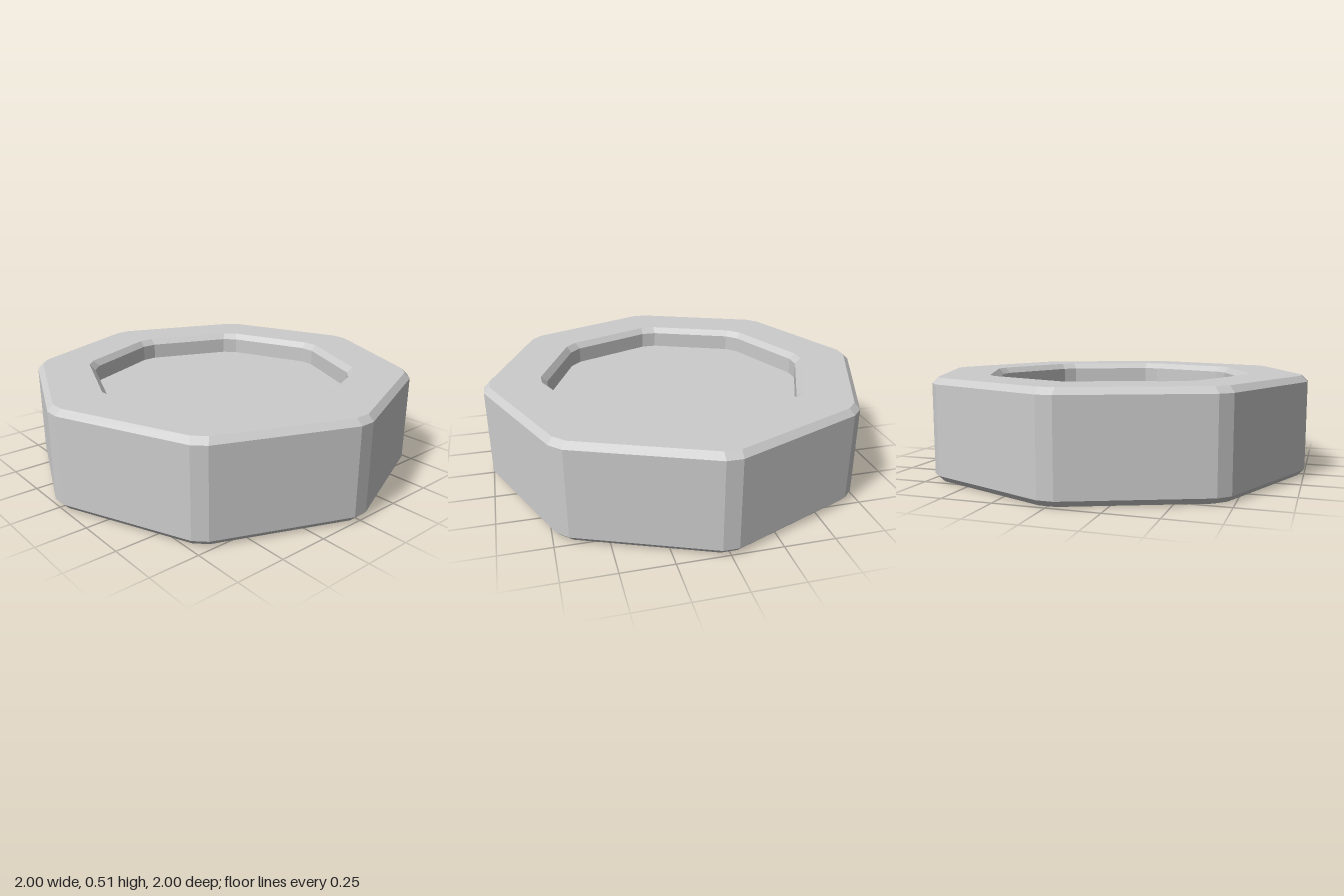
import * as THREE from 'three';

const H = 0.507;       // total height
const BEVEL = 0.03;
const DEPTH = 0.113;   // depth of the recess in each face
const HALF_CUT = 0.039; // half width of each clipped corner
const INNER = 0.68;

// Octagon outline with clipped corners, counter-clockwise from above, as [x, z]
function outline(r) {
  const pts = [];
  for (let k = 0; k < 8; k++) {
    const a = k * Math.PI / 4, s = Math.sin(a), c = Math.cos(a);
    for (const h of [-HALF_CUT, HALF_CUT]) pts.push([r * s + h * c, r * c - h * s]);
  }
  return pts;
}

// Joins outlines of the given [radius, y] steps into a flat-faced surface
function loft(profile) {
  const rings = profile.map(([r, y]) => outline(r).map(([x, z]) => [x, y, z]));
  const pos = [];
  for (let i = 0; i < rings.length - 1; i++) {
    const n = rings[i].length;
    for (let j = 0; j < n; j++) {
      const k = (j + 1) % n;
      const a = rings[i][j], b = rings[i][k], c = rings[i + 1][k], d = rings[i + 1][j];
      pos.push(...a, ...b, ...c, ...a, ...c, ...d);
    }
  }
  const geo = new THREE.BufferGeometry();
  geo.setAttribute('position', new THREE.Float32BufferAttribute(pos, 3));
  geo.computeVertexNormals();
  return geo;
}

export function createModel() {
  const group = new THREE.Group();
  group.name = 'octagonalDisc';
  const material = new THREE.MeshStandardMaterial({ color: 0xcccccc, flatShading: true });
  const add = (name, geometry) => {
    const mesh = new THREE.Mesh(geometry, material);
    mesh.name = name;
    group.add(mesh);
    return mesh;
  };

  // Bevelled rim, from the lower recess around the outside to the upper recess
  add('rim', loft([
    [INNER, DEPTH],
    [INNER, BEVEL],
    [INNER + BEVEL, 0],
    [1 - BEVEL, 0],
    [1, BEVEL],
    [1, H - BEVEL],
    [1 - BEVEL, H],
    [INNER + BEVEL, H],
    [INNER, H - BEVEL],
    [INNER, H - DEPTH],
  ]));

  // Flat floors of the two recesses
  const floor = new THREE.Shape(outline(INNER).map(([x, z]) => new THREE.Vector2(x, z)));
  for (const [name, y, turn] of [['upperPanel', H - DEPTH, -1], ['lowerPanel', DEPTH, 1]]) {
    const panel = add(name, new THREE.ShapeGeometry(floor).rotateX(turn * Math.PI / 2));
    panel.position.y = y;
  }
  return group;
}
